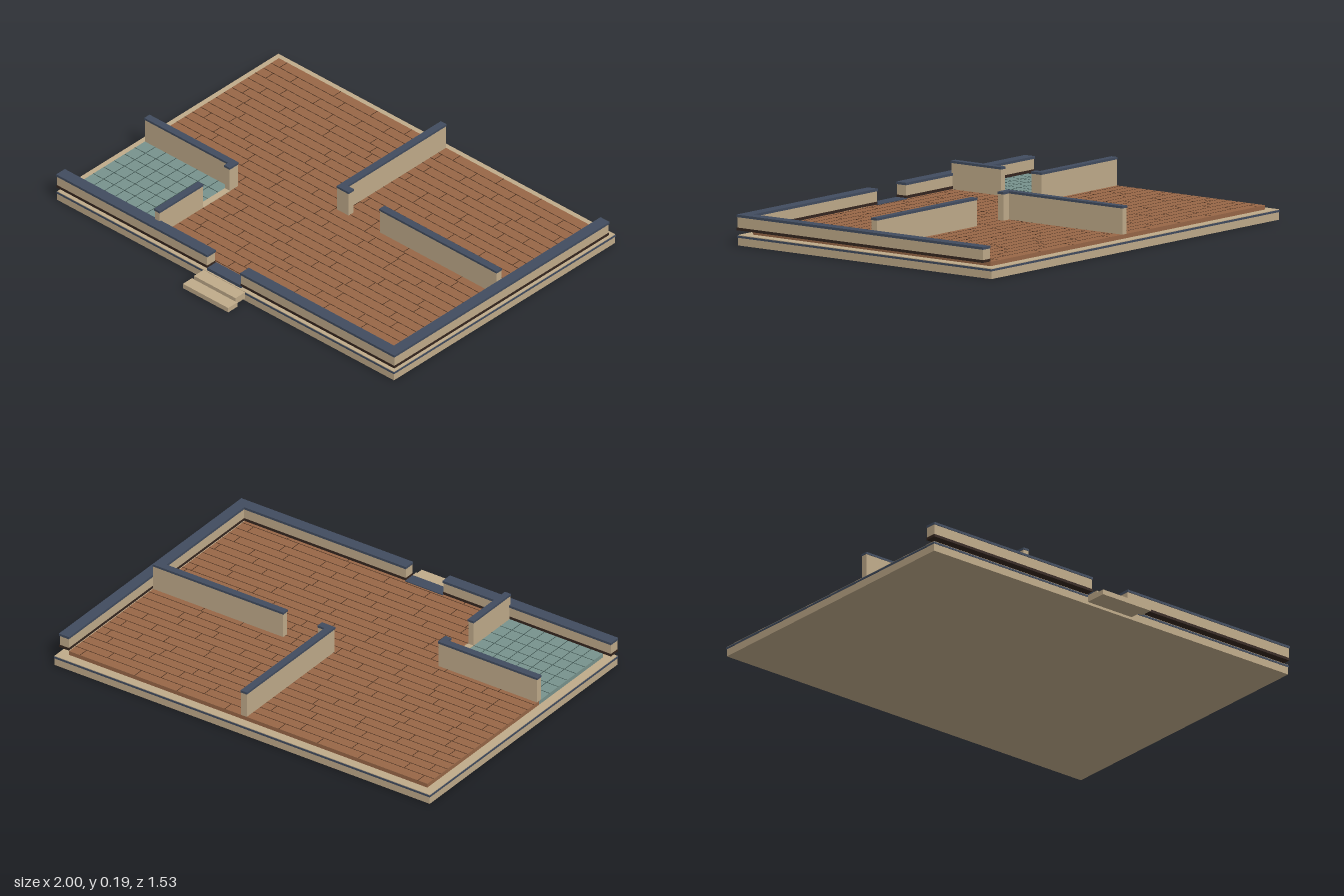
import * as THREE from 'three';

const mat = (name, color) => {
  const m = new THREE.MeshStandardMaterial({ color });
  m.name = name;
  return m;
};

export function createModel() {
  const model = new THREE.Group();
  model.name = 'floorPlan';
  const tan = mat('plaster tan', 0xc0ab8a);
  const navy = mat('cap navy', 0x414c5f);
  const wood = mat('plank brown', 0x986747);
  const seam = mat('seam dark brown', 0x4a301f);
  const tile = mat('tile teal', 0x78938d);
  const grout = mat('grout dark teal', 0x3c504d);
  const base = mat('baseboard brown', 0x35261f);

  // Box given by its limits on each axis
  const box = (name, m, x0, x1, y0, y1, z0, z1, parent = model) => {
    const mesh = new THREE.Mesh(new THREE.BoxGeometry(x1 - x0, y1 - y0, z1 - z0), m);
    mesh.position.set((x0 + x1) / 2, (y0 + y1) / 2, (z0 + z1) / 2);
    mesh.name = name;
    parent.add(mesh);
    return mesh;
  };
  const group = (name) => {
    const g = new THREE.Group();
    g.name = name;
    model.add(g);
    return g;
  };

  // Foundation with a dark band near its top edge
  box('foundation', tan, -0.998, 0.993, 0, 0.034, -0.763, 0.645);
  box('foundationBand', navy, -1, 0.995, 0.034, 0.043, -0.765, 0.647);
  box('foundationTop', tan, -0.998, 0.993, 0.043, 0.046, -0.763, 0.645);

  // Wooden floor, L-shaped around the tiled room
  const F = 0.065;
  box('woodFloorBack', wood, -0.955, 0.945, 0.046, F, -0.72, 0.118);
  box('woodFloorFront', wood, -0.445, 0.945, 0.046, F, 0.118, 0.6);

  // Plank seams: long lines every row and staggered end joints
  const seams = group('plankSeams');
  let seed = 7;
  const rand = () => (seed = (seed * 16807) % 2147483647) / 2147483647;
  const pitch = 0.05;
  for (let z = -0.72; z < 0.595; z += pitch) {
    const left = z > 0.09 ? -0.43 : -0.955;
    const end = Math.min(z + pitch, 0.6);
    if (z > -0.71) box('rowSeam', seam, left, 0.945, F, F + 0.0006, z - 0.0015, z + 0.0015, seams);
    for (let x = left + 0.05 + rand() * 0.2; x < 0.93; x += 0.17 + rand() * 0.16) {
      box('endJoint', seam, x - 0.0015, x + 0.0015, F, F + 0.0006, z, end, seams);
    }
  }

  // Tiled room with a grout grid
  box('tileFloor', tile, -0.955, -0.445, 0.046, F, 0.118, 0.6);
  const lines = group('groutLines');
  for (let i = 1; i < 8; i++) {
    const x = -0.955 + i * 0.0619;
    box('groutLine', grout, x - 0.0015, x + 0.0015, F, F + 0.0006, 0.13, 0.6, lines);
  }
  for (let i = 1; i < 7; i++) {
    const z = 0.13 + i * 0.0664;
    box('groutLine', grout, -0.955, -0.46, F, F + 0.0006, z - 0.0015, z + 0.0015, lines);
  }
  box('roomSill', tan, -0.46, -0.43, F, F + 0.003, 0.155, 0.325);

  // Low outer walls: baseboard, body and cap
  const outer = group('outerWalls');
  for (const [x0, x1, z0, z1] of [
    [-0.998, -0.11, 0.597, 0.646],
    [0.09, 0.948, 0.597, 0.646],
    [0.948, 0.996, -0.718, 0.646],
  ]) {
    box('baseboard', base, x0 - 0.001, x1 + 0.002, 0.067, 0.079, z0 - 0.002, z1 + 0.002, outer);
    box('outerWall', tan, x0, x1, 0.079, 0.125, z0, z1, outer);
    box('outerWallCap', navy, x0 - 0.002, x1 + 0.003, 0.125, 0.136, z0 - 0.003, z1 + 0.003, outer);
  }

  // Taller inner walls with caps
  const inner = group('innerWalls');
  for (const [x0, x1, z0, z1] of [
    [-0.955, -0.432, 0.103, 0.133],
    [-0.46, -0.432, 0.133, 0.157],
    [-0.46, -0.432, 0.327, 0.603],
    [0.003, 0.033, -0.72, -0.06],
    [0.033, 0.07, -0.09, -0.06],
    [0.255, 0.945, -0.09, -0.06],
  ]) {
    box('innerWall', tan, x0, x1, F, 0.18, z0, z1, inner);
    box('innerWallCap', navy, x0 - 0.002, x1 + 0.002, 0.18, 0.19, z0 - 0.002, z1 + 0.002, inner);
  }

  // Entrance threshold and steps
  box('threshold', navy, -0.11, 0.09, 0.055, 0.069, 0.59, 0.647);
  box('upperStep', tan, -0.133, 0.113, 0.012, 0.044, 0.645, 0.706);
  box('lowerStep', tan, -0.145, 0.123, 0.003, 0.026, 0.704, 0.763);

  return model;
}
